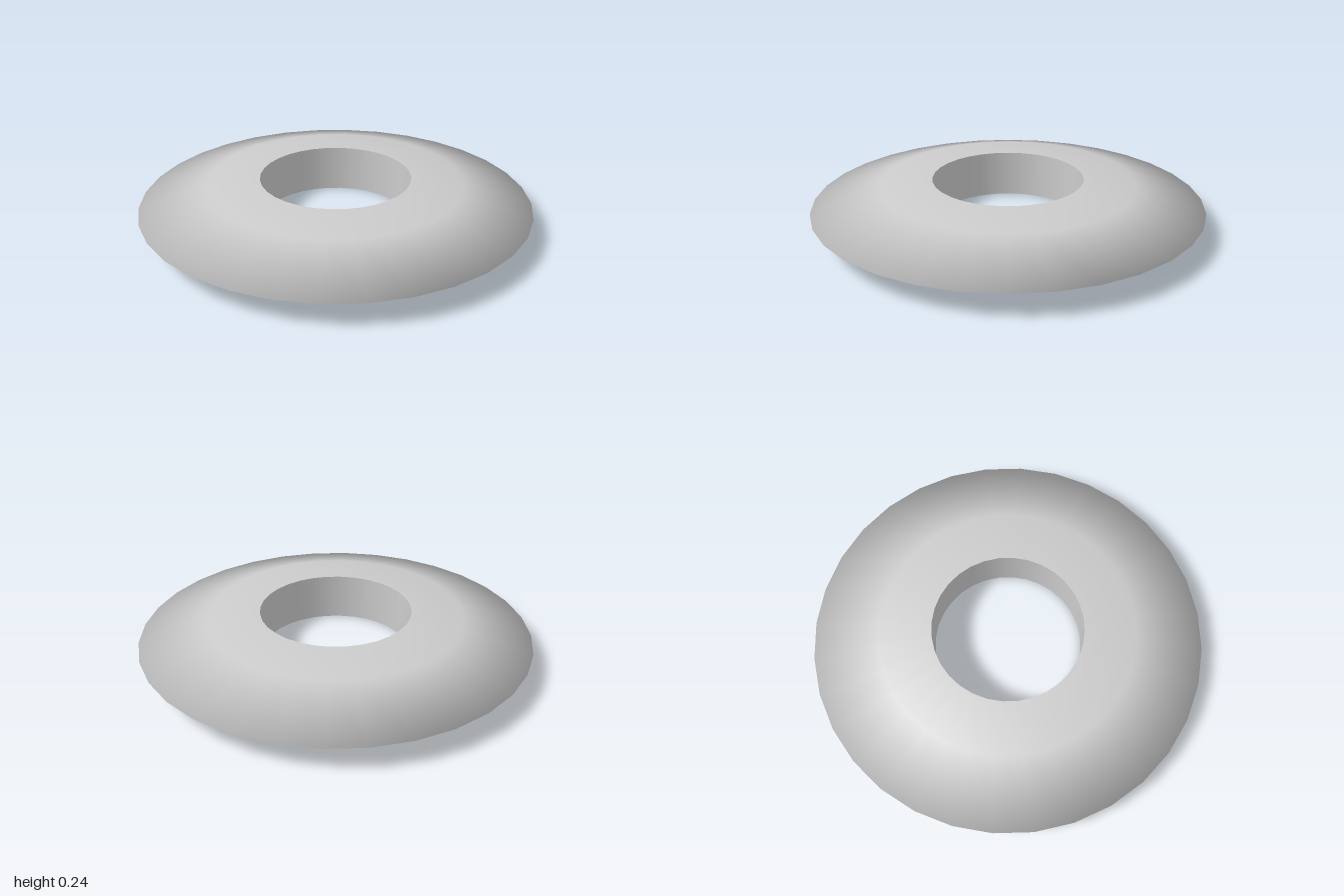
import * as THREE from 'three';

const SIDES = 32;

// Revolve a short [radius, height] profile around the y axis
function revolve(name, profile, material) {
  const points = profile.map(([r, y]) => new THREE.Vector2(r, y));
  const mesh = new THREE.Mesh(new THREE.LatheGeometry(points, SIDES), material);
  mesh.name = name;
  return mesh;
}

export function createModel() {
  const group = new THREE.Group();
  group.name = 'ringDisc';
  const material = new THREE.MeshStandardMaterial({ color: 0xcccccc });

  const height = 0.244;
  const holeRadius = 0.386;
  const shoulderRadius = 0.65;
  const shoulderDrop = 0.02;

  // Smooth outer body: underside, sharp rim, upper side
  group.add(revolve('discBody', [
    [holeRadius, 0],
    [shoulderRadius, shoulderDrop],
    [1, height / 2],
    [shoulderRadius, height - shoulderDrop],
    [holeRadius, height],
  ], material));

  // Straight wall of the centre hole, with hard edges to the body
  group.add(revolve('holeWall', [
    [holeRadius, height],
    [holeRadius, 0],
  ], material));

  return group;
}
